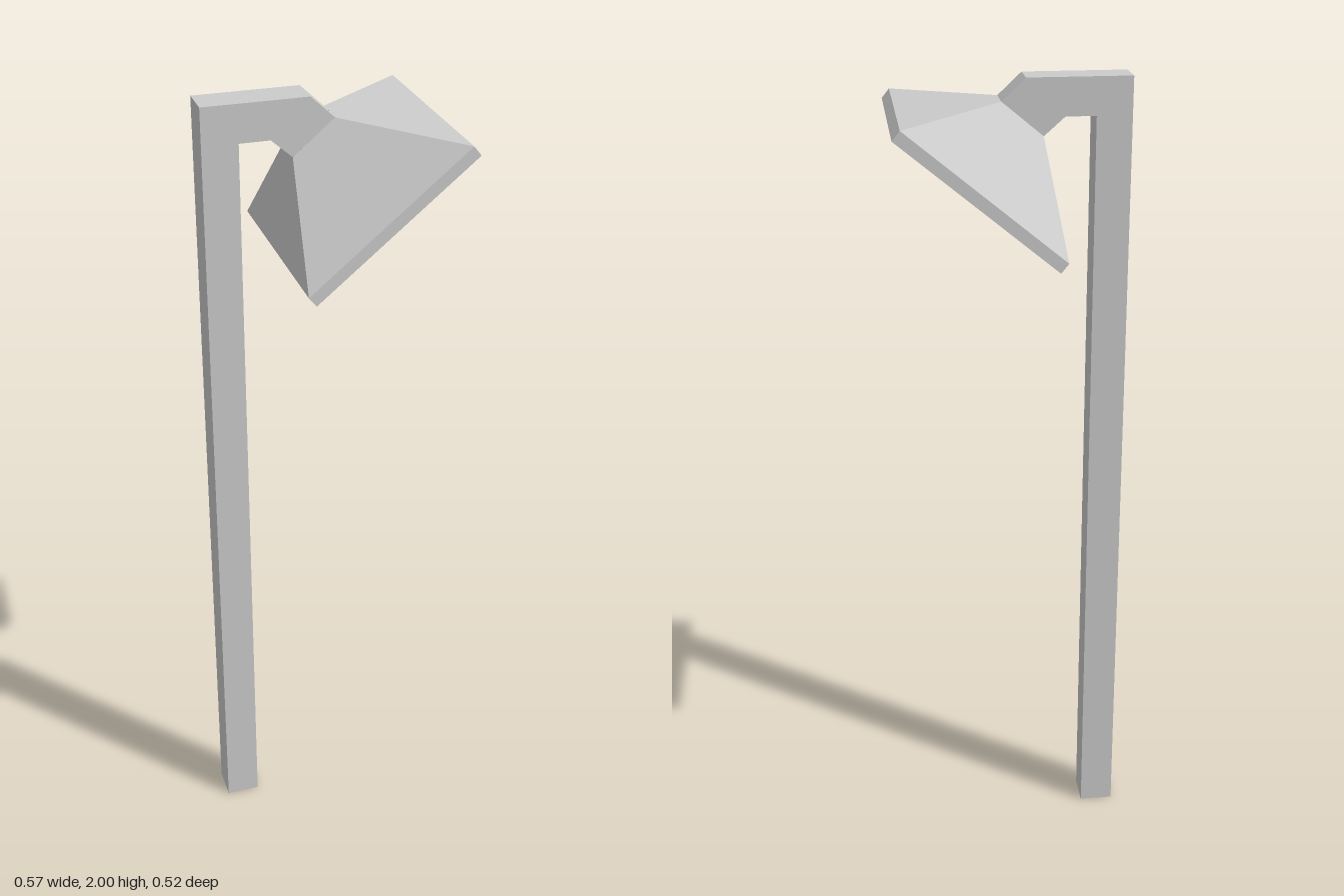
import * as THREE from 'three';

const material = new THREE.MeshStandardMaterial({ color: 0xcccccc, flatShading: true });

// Post and bent arm cut from one outline, square in section
function makePost() {
  const outline = [
    [-0.285, 0], [-0.2, 0], [-0.2, 1.91], [-0.127, 1.91], [-0.077, 1.866],
    [0.022, 1.947], [-0.035, 2], [-0.285, 2],
  ].map(([x, y]) => new THREE.Vector2(x, y));
  const geometry = new THREE.ExtrudeGeometry(new THREE.Shape(outline), { depth: 0.084, bevelEnabled: false });
  geometry.translate(0, 0, -0.042);
  const post = new THREE.Mesh(geometry, material);
  post.name = 'postAndArm';
  return post;
}

// Hollow shade: rectangular rings joined down the outside, round the lip and up the inside
function makeShade() {
  const rings = [ // half width, half depth, height
    [0.064, 0.042, 0],
    [0.241, 0.261, -0.168],
    [0.241, 0.261, -0.197],
    [0.211, 0.231, -0.197],
    [0.211, 0.231, -0.168],
    [0.042, 0.042, -0.001],
  ];
  const positions = [];
  const index = [];
  rings.forEach(([w, d, y], r) => {
    positions.push(w, y, d, w, y, -d, -w, y, -d, -w, y, d);
    if (r === 0) return;
    for (let i = 0; i < 4; i++) {
      const j = (i + 1) % 4;
      const top = (r - 1) * 4;
      const low = r * 4;
      index.push(top + i, low + i, low + j, top + i, low + j, top + j);
    }
  });
  // Inner ceiling, facing down
  const c = (rings.length - 1) * 4;
  index.push(c, c + 3, c + 2, c, c + 2, c + 1);

  const indexed = new THREE.BufferGeometry();
  indexed.setAttribute('position', new THREE.Float32BufferAttribute(positions, 3));
  indexed.setIndex(index);
  const geometry = indexed.toNonIndexed();
  geometry.computeVertexNormals();

  const shade = new THREE.Mesh(geometry, material);
  shade.name = 'lampShade';
  shade.position.set(-0.0275, 1.9065, 0);
  shade.rotation.z = 0.688;
  return shade;
}

export function createModel() {
  const model = new THREE.Group();
  model.name = 'streetLamp';
  model.add(makePost(), makeShade());
  return model;
}
